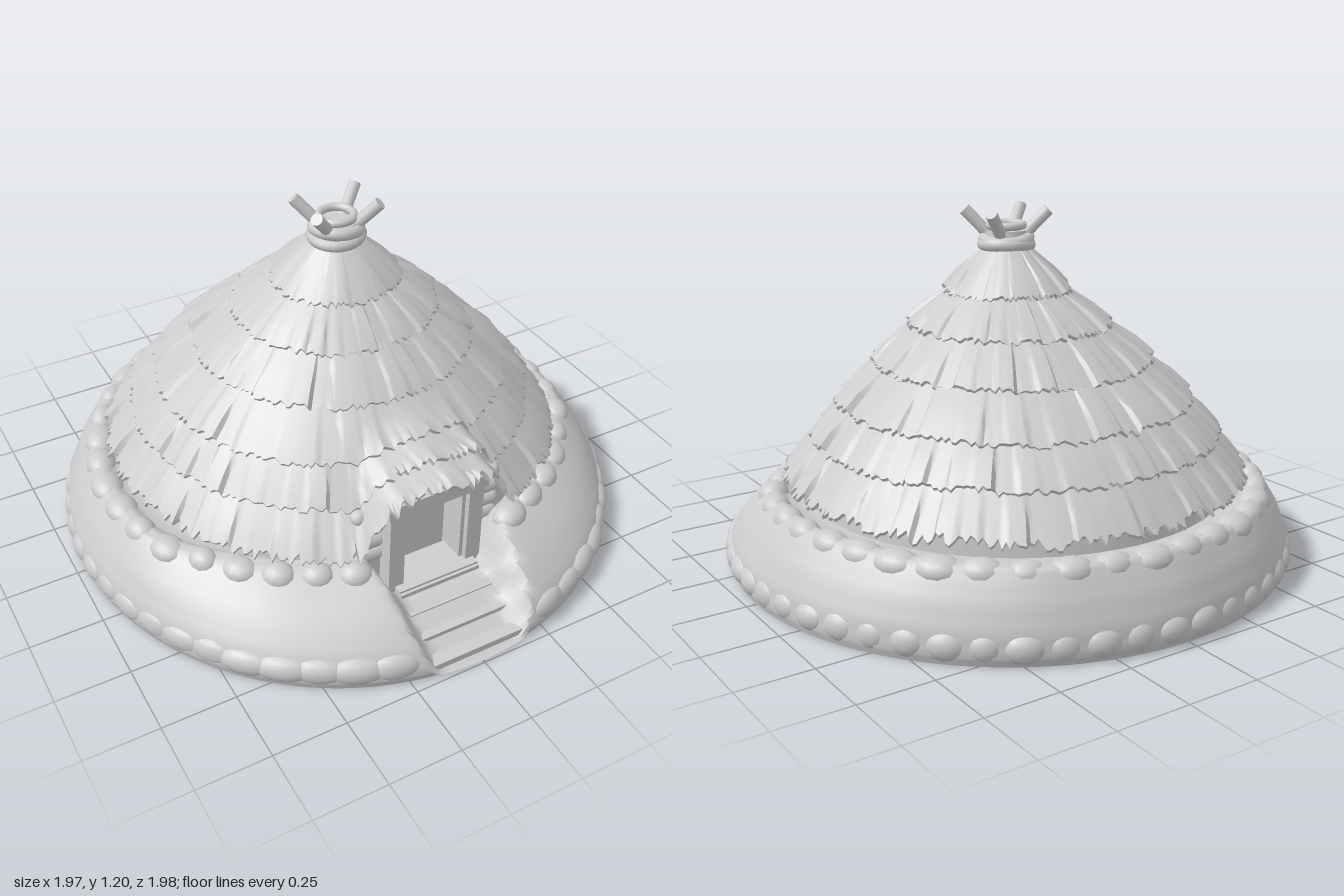
import * as THREE from 'three';
import { toCreasedNormals } from 'three/addons/utils/BufferGeometryUtils.js';

const clay = new THREE.MeshStandardMaterial({ color: 0xcccccc, side: THREE.DoubleSide });
clay.name = 'pale clay';

const V2 = (x, y) => new THREE.Vector2(x, y);
const hash = (n) => { const s = Math.sin(n * 127.1 + 11.7) * 43758.5453; return s - Math.floor(s); };
const smooth = THREE.MathUtils.smoothstep;
const clamp = THREE.MathUtils.clamp;

function add(parent, name, geometry, x = 0, y = 0, z = 0) {
  const mesh = new THREE.Mesh(geometry, clay);
  mesh.name = name;
  mesh.position.set(x, y, z);
  parent.add(mesh);
  return mesh;
}

const box = (parent, name, w, h, d, x, y, z) => add(parent, name, new THREE.BoxGeometry(w, h, d), x, y, z);

// Lathe whose vertices are moved by a rule(vector, column, row)
function bentLathe(points, segments, rule, crease) {
  const g = new THREE.LatheGeometry(points, segments, Math.PI);
  const p = g.attributes.position, v = new THREE.Vector3();
  for (let i = 0; i < p.count; i++) {
    v.fromBufferAttribute(p, i);
    rule(v, Math.floor(i / points.length) % segments, i % points.length);
    p.setXYZ(i, v.x, v.y, v.z);
  }
  g.computeVertexNormals();
  return toCreasedNormals(g, crease);
}

// Earth bank: leans back, slopes gently at the front, and is cut for the steps
function bankRule(v) {
  const r = Math.hypot(v.x, v.z), front = r > 0 ? smooth(v.z / r, 0.2, 1) : 0;
  const h = v.y / 0.28, a = Math.atan2(v.x, v.z);
  if (r > 0) {
    const k = (r + front * (0.02 - 0.11 * h * h) + 0.008 * h * Math.sin(a * 9) * Math.sin(a * 4)) / r;
    v.x *= k;
    v.z = v.z * k - 0.04 * h * h;
  }
  if (v.z > 0.45 && v.y > 0) {
    const floor = clamp((0.99 - v.z) * 0.5, 0.004, 0.11);
    v.y = Math.min(v.y, floor + Math.max(0, Math.abs(v.x) - 0.16) * 1.9);
  }
}

function buildBank(parent) {
  const key = [[0, 0], [0.965, 0], [0.975, 0.03], [0.965, 0.1], [0.925, 0.18], [0.885, 0.235],
    [0.855, 0.27], [0.82, 0.275], [0.78, 0.25], [0.4, 0.24]];
  const points = [V2(0, 0)];
  for (let i = 1; i < key.length; i++) {
    const n = i === 1 ? 1 : i === key.length - 1 ? 10 : 3;
    for (let k = 1; k <= n; k++) {
      const t = k / n;
      points.push(V2(key[i - 1][0] + (key[i][0] - key[i - 1][0]) * t, key[i - 1][1] + (key[i][1] - key[i - 1][1]) * t));
    }
  }
  add(parent, 'earthBank', bentLathe(points, 200, bankRule, 0.9));
}

// Rows of rounded stones at the foot and the rim of the bank
function buildStones(parent) {
  const pebble = new THREE.SphereGeometry(1, 14, 10);
  const row = (name, count, radius, y, size, gap, frontSize, seed) => {
    const group = new THREE.Group();
    group.name = name;
    for (let i = 0; i < count; i++) {
      const a = ((i + 0.5) / count) * Math.PI * 2, s = 0.9 + 0.25 * hash(i + seed);
      const v = new THREE.Vector3(Math.sin(a) * radius, y, Math.cos(a) * radius);
      if (v.z > 0 && Math.abs(v.x) < gap) continue;
      bankRule(v);
      const grow = 1 + (frontSize - 1) * smooth(Math.cos(a), -0.4, 0.8);
      const m = add(group, 'stone', pebble, v.x, y, v.z);
      m.rotation.y = a;
      m.scale.set(size[0] * s * grow, size[1] * (0.92 + 0.12 * hash(i + seed + 50)), size[2] * s);
    }
    parent.add(group);
  };
  row('footStones', 52, 0.945, 0.054, [0.062, 0.052, 0.04], 0.24, 1.5, 3);
  row('rimStones', 40, 0.832, 0.243, [0.072, 0.046, 0.05], 0.3, 0.85, 90);
}

// Thatch: eave radius and height of each course, from the peak down
const courses = [[0.08, 1.07], [0.22, 0.92], [0.35, 0.81], [0.48, 0.69], [0.61, 0.56], [0.7, 0.445], [0.79, 0.315]];

function coneHeight(r) {
  let i = 1;
  while (i < courses.length - 1 && r > courses[i][0]) i++;
  const [r0, y0] = courses[i - 1], [r1, y1] = courses[i];
  return y0 + ((r - r0) / (r1 - r0)) * (y1 - y0);
}

// Hood over the door: flat crown, steep sides
function hoodDrop(x) {
  const d = Math.abs(x);
  return 0.03 * smooth(d, 0, 0.16) + 0.28 * smooth(d, 0.14, 0.37) + 2 * Math.max(0, d - 0.31);
}
const hoodHeight = (x, z) => 0.555 + (0.72 - z) * 0.46 - hoodDrop(x);

function buildThatch(parent) {
  const group = new THREE.Group();
  group.name = 'thatchRoof';
  for (let c = 1; c < courses.length; c++) {
    const [r0, y0] = courses[c - 1], [r1, y1] = courses[c];
    const rt = c === 1 ? r0 - 0.02 : r0 - 0.04, yt = y0 + (c === 1 ? 0.01 : 0.02);
    const points = [V2(r1 - 0.07, y1 + 0.05), V2(r1 - 0.006, y1 - 0.006), V2(r1, y1 + 0.004)];
    for (const t of [0.3, 0.6, 1]) points.push(V2(r1 + (rt - r1) * t, y1 + 0.012 + (yt - y1 - 0.012) * t));
    const segs = 120 + c * 50, reed = 6, ragged = c === courses.length - 1 ? 0.045 : 0.024;
    const rule = (v, col, row) => {
      const r = Math.hypot(v.x, v.z);
      const fade = row > 4 ? 0 : row === 4 ? 0.5 : 1;
      // bundles of reeds, then single frayed ends along the eave
      const bundle = (hash(Math.floor(col / reed) + c * 77) - 0.5) * 0.024 * fade;
      const fray = row === 1 || row === 2 ? (hash(col + c * 311) - 0.5) * ragged : 0;
      const k = (r + bundle * 0.6 + fray * 0.6) / r;
      v.x *= k;
      v.z *= k;
      v.y += bundle * 0.7 - fray * 0.7;
      // the courses rise over the doorway to make the hood
      const lean = 0.01 - 0.05 * smooth(r, 0.05, 0.8);
      if (v.z > 0) v.y += Math.max(0, hoodHeight(v.x, v.z + lean) - coneHeight(r));
      v.z += lean;
    };
    add(group, 'thatchCourse', bentLathe(points, segs, rule, 0.7));
  }
  parent.add(group);
}

function buildPeak(parent) {
  const peak = new THREE.Group();
  peak.name = 'roofPeak';
  peak.position.set(0, 0, 0.015);
  add(peak, 'peakCore', new THREE.CylinderGeometry(0.07, 0.085, 0.09, 24, 1, true), 0, 1.075, 0);
  for (const [y, r, tilt] of [[1.07, 0.078, 0.05], [1.092, 0.074, -0.12]]) {
    const band = add(peak, 'ropeBand', new THREE.TorusGeometry(r, 0.022, 10, 32), 0, y, 0);
    band.rotation.set(Math.PI / 2 + tilt, tilt, 0);
  }
  const ring = add(peak, 'smokeRing', new THREE.TorusGeometry(0.058, 0.014, 8, 28), 0, 1.135, 0);
  ring.rotation.x = Math.PI / 2;
  add(peak, 'smokeHoleFloor', new THREE.CylinderGeometry(0.065, 0.068, 0.02, 24), 0, 1.105, 0);
  for (const sx of [-1, 1]) for (const sz of [-1, 1]) {
    const a = new THREE.Vector3(sx * 0.035, 1.09, sz * 0.03), b = new THREE.Vector3(sx * 0.115, 1.188, sz * 0.083);
    const d = b.clone().sub(a);
    const pole = add(peak, 'crossedPole', new THREE.CylinderGeometry(0.021, 0.021, d.length(), 10));
    pole.position.copy(a).add(b).multiplyScalar(0.5);
    pole.quaternion.setFromUnitVectors(new THREE.Vector3(0, 1, 0), d.normalize());
  }
  parent.add(peak);
}

function buildDoorway(parent) {
  const door = new THREE.Group();
  door.name = 'doorway';
  // clay wall with an arched top that follows the hood
  const wall = new THREE.Shape();
  wall.moveTo(-0.3, 0.08);
  wall.lineTo(0.3, 0.08);
  for (let i = 0; i <= 24; i++) {
    const x = 0.3 - i * 0.025;
    wall.lineTo(x, 0.55 - hoodDrop(x));
  }
  const hole = new THREE.Path();
  hole.moveTo(-0.125, 0.1).lineTo(-0.125, 0.45).lineTo(0.125, 0.45).lineTo(0.125, 0.1);
  wall.holes.push(hole);
  add(door, 'doorWall', new THREE.ExtrudeGeometry(wall, { depth: 0.1, bevelEnabled: false }), 0, 0, 0.53);
  box(door, 'doorPanel', 0.28, 0.37, 0.03, 0, 0.29, 0.545);
  for (const s of [-1, 1]) {
    box(door, 'doorPost', 0.055, 0.34, 0.1, s * 0.147, 0.27, 0.64);
    box(door, 'innerJamb', 0.022, 0.32, 0.1, s * 0.117, 0.27, 0.62);
    // stacked clay courses beside the frame
    for (let i = 0; i < 4; i++) {
      const log = add(door, 'wallCourse', new THREE.CapsuleGeometry(0.03, 0.07, 4, 10), s * 0.215, 0.25 + i * 0.055, 0.615);
      log.rotation.z = Math.PI / 2;
    }
  }
  box(door, 'lintel', 0.37, 0.05, 0.11, 0, 0.455, 0.645);
  box(door, 'upperBeam', 0.31, 0.035, 0.08, 0, 0.495, 0.635);
  box(door, 'innerLintel', 0.25, 0.022, 0.1, 0, 0.425, 0.62);
  box(door, 'doorSill', 0.3, 0.03, 0.14, 0, 0.118, 0.65);
  parent.add(door);

  const steps = new THREE.Group();
  steps.name = 'steps';
  [[0.125, 0.73, 0.3], [0.1, 0.8, 0.31], [0.07, 0.88, 0.32], [0.035, 0.965, 0.33]].forEach(([top, front, w]) =>
    box(steps, 'step', w, top, front - 0.6, 0, top / 2, (front + 0.6) / 2));
  parent.add(steps);
}

export function createModel() {
  const hut = new THREE.Group();
  hut.name = 'thatchedHut';
  buildBank(hut);
  buildStones(hut);
  // low wall in the shade of the eaves, open at the door
  add(hut, 'innerWall', new THREE.CylinderGeometry(0.71, 0.73, 0.18, 80, 1, true, 0.36, Math.PI * 2 - 0.72), 0, 0.29, -0.04);
  buildThatch(hut);
  buildPeak(hut);
  buildDoorway(hut);
  return hut;
}
